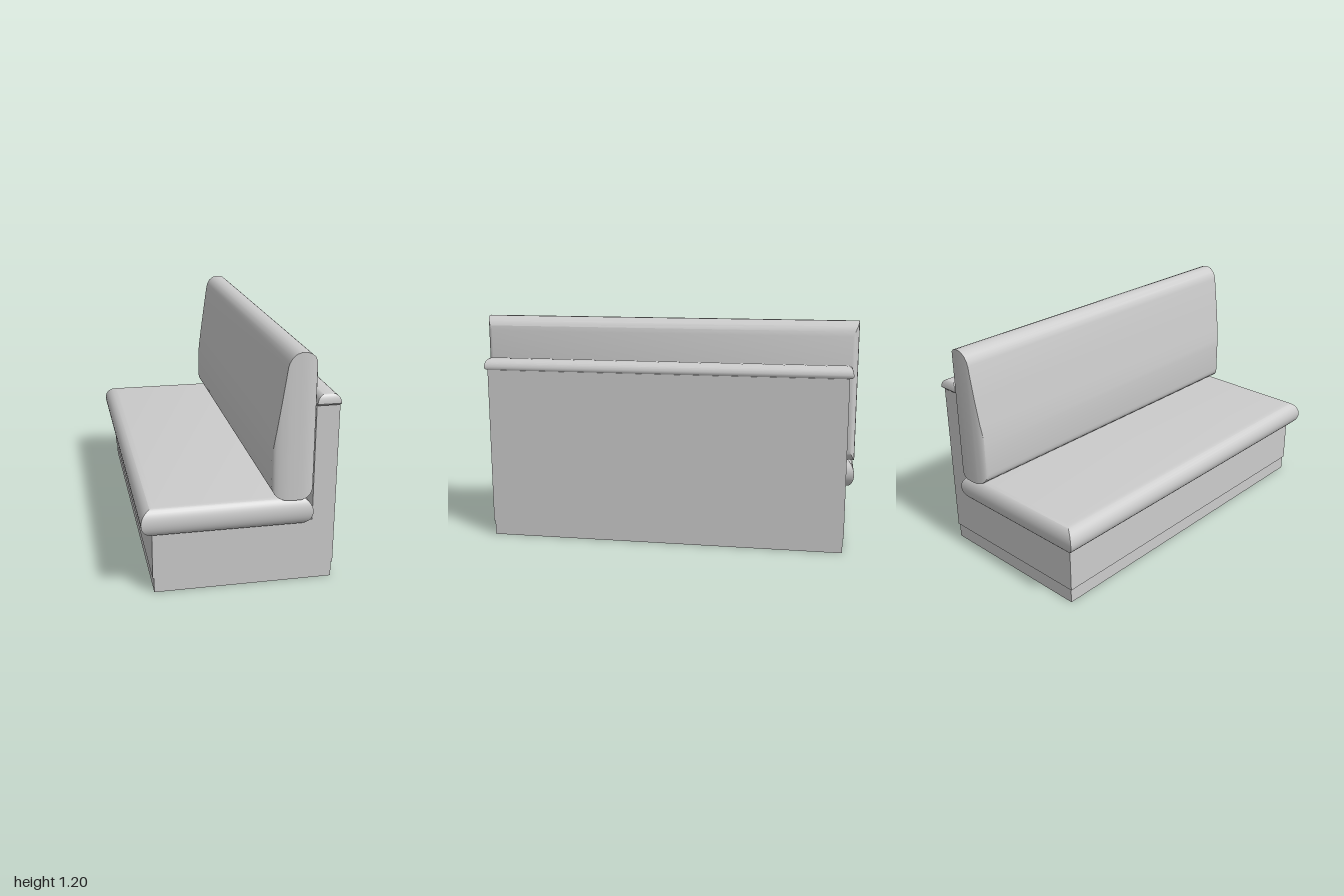
import * as THREE from 'three';
import { toCreasedNormals } from 'three/addons/utils/BufferGeometryUtils.js';

// Closed skin over rings of four corners, each ring counter-clockwise about the loft axis
function loft(rings) {
  const pos = [];
  const quad = (a, b, c, d) => pos.push(...a, ...b, ...c, ...a, ...c, ...d);
  for (let i = 0; i < rings.length - 1; i++) {
    for (let k = 0; k < 4; k++) {
      const n = (k + 1) % 4;
      quad(rings[i][k], rings[i][n], rings[i + 1][n], rings[i + 1][k]);
    }
  }
  quad(...rings[rings.length - 1]);
  quad(...[...rings[0]].reverse());
  const geo = new THREE.BufferGeometry();
  geo.setAttribute('position', new THREE.Float32BufferAttribute(pos, 3));
  return toCreasedNormals(geo, 0.6);
}

// Rectangular ring lying flat at height y
const flatRing = (y, x0, x1, z) => [[x0, y, z], [x1, y, z], [x1, y, -z], [x0, y, -z]];
// Upright rectangular ring at position x
const uprightRing = (x, y0, y1, z) => [[x, y0, -z], [x, y1, -z], [x, y1, z], [x, y0, z]];

export function createModel() {
  const group = new THREE.Group();
  const material = new THREE.MeshStandardMaterial({ color: 0xcccccc });
  const add = (name, geo) => {
    const mesh = new THREE.Mesh(geo, material);
    mesh.name = name;
    group.add(mesh);
    return mesh;
  };

  // Recessed plinth
  add('plinth', new THREE.BoxGeometry(0.905, 0.08, 1.9)).position.set(0.027, 0.04, 0);

  // L-shaped frame: seat box and back panel in one
  const outline = [[-0.433, 0.08], [0.485, 0.08], [0.485, 0.925], [0.369, 0.925], [0.369, 0.327], [-0.433, 0.327]];
  const frame = new THREE.ExtrudeGeometry(
    new THREE.Shape(outline.map(([x, y]) => new THREE.Vector2(x, y))),
    { depth: 1.91, bevelEnabled: false });
  frame.translate(0, 0, -0.955);
  add('frame', frame);

  // Seat cushion with half-round edges and mitred corners
  const seat = [];
  for (let i = 0; i <= 16; i++) {
    const a = -Math.PI / 2 + (Math.PI * i) / 16;
    const inset = 1 - Math.cos(a);
    seat.push(flatRing(0.39 + 0.075 * Math.sin(a), -0.49 + 0.075 * inset, 0.36 - 0.075 * inset, 1 - 0.05 * inset));
  }
  add('seatCushion', loft(seat));

  // Back cushion, tapering at the front: x, bottom, top, half length
  const back = [
    [0.15, 0.53, 0.7, 0.967], [0.155, 0.507, 0.736, 0.978], [0.166, 0.488, 0.815, 0.986],
    [0.185, 0.472, 0.951, 0.993], [0.21, 0.463, 1.13, 0.997], [0.216, 0.462, 1.152, 0.998],
    [0.23, 0.461, 1.176, 0.999], [0.25, 0.46, 1.193, 1], [0.273, 0.46, 1.2, 1],
    [0.298, 0.461, 1.2, 1], [0.32, 0.467, 1.193, 0.997], [0.342, 0.482, 1.175, 0.99],
    [0.355, 0.503, 1.15, 0.98], [0.361, 0.53, 1.125, 0.967],
  ];
  add('backCushion', loft(back.map((r) => uprightRing(...r))));

  // Rounded rail along the top of the back panel
  const rail = [flatRing(0.925, 0.371, 0.48, 0.965), flatRing(0.935, 0.366, 0.485, 0.975)];
  for (let i = 1; i <= 8; i++) {
    const a = (Math.PI / 2) * (i / 8);
    const inset = 1 - Math.cos(a);
    rail.push(flatRing(0.935 + 0.047 * Math.sin(a), 0.366 + 0.043 * inset, 0.485 - 0.043 * inset, 0.975 - 0.02 * inset));
  }
  add('topRail', loft(rail));

  return group;
}
